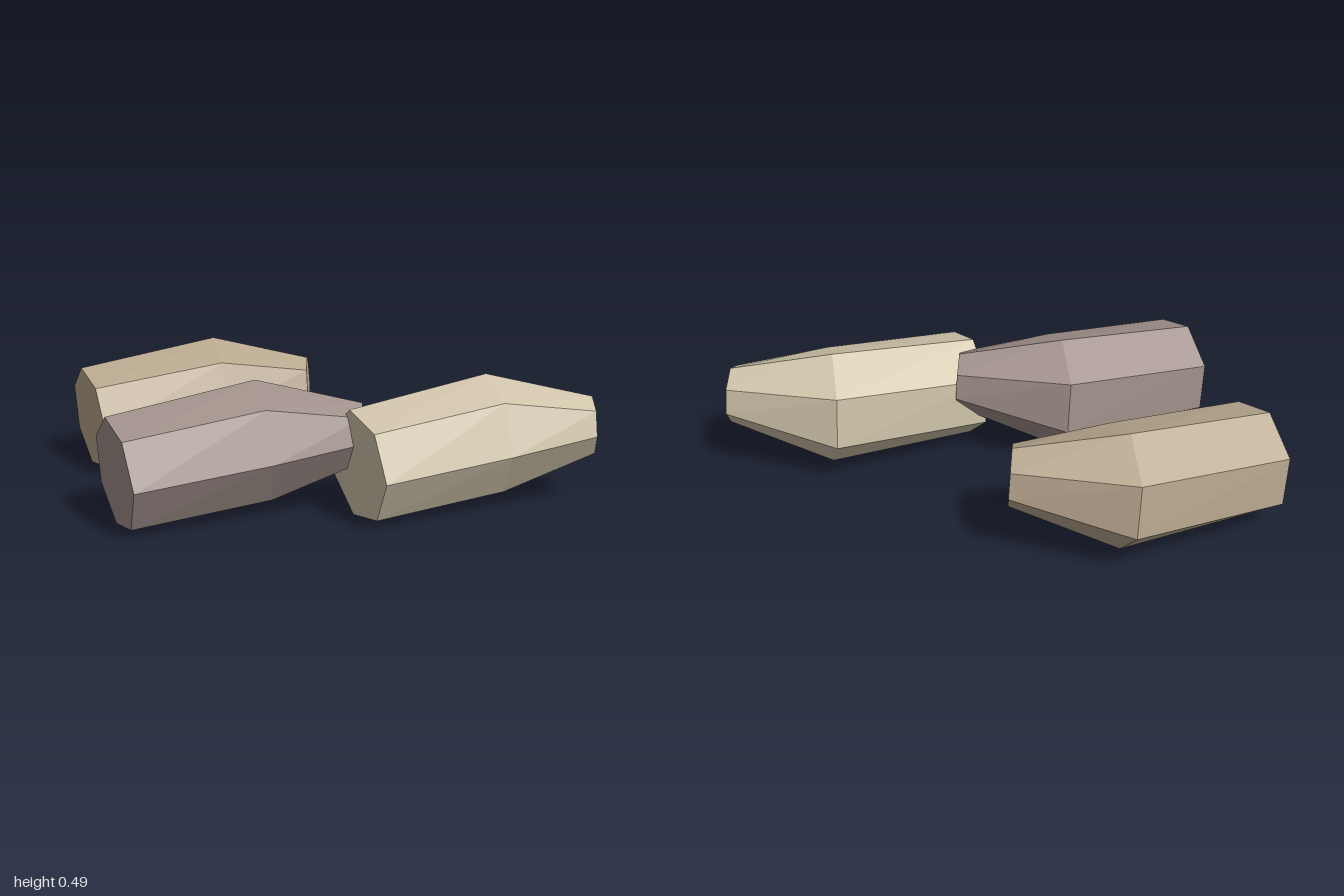
import * as THREE from 'three';

const SIDES = 7;

// Each ring: centre, sideways axis, upward axis (front base, knuckle, tip)
const RINGS = [
  { c: [-0.211, 0.209, 0.705], u: [0.196, -0.004, 0.085], v: [0, 0.214, 0.017] },
  { c: [0.019, 0.26, 0.172], u: [0.186, -0.025, 0.138], v: [0.006, 0.23, 0.026] },
  { c: [0.325, 0.30, -0.064], u: [0.066, -0.015, 0.084], v: [0.005, 0.112, 0.019] },
];

function ringPoint(ring, k) {
  const a = (k / SIDES) * Math.PI * 2;
  return ring.c.map((c, i) => c + ring.u[i] * Math.cos(a) + ring.v[i] * Math.sin(a));
}

// Seven-sided bent prism: walls between rings plus a cap at each end
function segmentGeometry() {
  const pos = [];
  const tri = (...pts) => pts.forEach((p) => pos.push(...p));
  const last = RINGS.length - 1;
  for (let k = 0; k < SIDES; k++) {
    for (let i = 0; i < last; i++) {
      const a = ringPoint(RINGS[i], k);
      const b = ringPoint(RINGS[i], k + 1);
      const c = ringPoint(RINGS[i + 1], k);
      const d = ringPoint(RINGS[i + 1], k + 1);
      tri(a, c, d);
      tri(a, d, b);
    }
    tri(RINGS[0].c, ringPoint(RINGS[0], k), ringPoint(RINGS[0], k + 1));
    tri(RINGS[last].c, ringPoint(RINGS[last], k + 1), ringPoint(RINGS[last], k));
  }
  const geo = new THREE.BufferGeometry();
  geo.setAttribute('position', new THREE.Float32BufferAttribute(pos, 3));
  geo.computeVertexNormals();
  return geo;
}

export function createModel() {
  const group = new THREE.Group();
  group.name = 'bentPrisms';
  const geo = segmentGeometry();
  // Three identical pieces, shifted and tinted
  const pieces = [
    { name: 'rightPrism', x: -0.61, z: -0.404, color: 0xb9a88f },
    { name: 'middlePrism', x: 0, z: 0, color: 0xa0908a },
    { name: 'leftPrism', x: 0.605, z: -0.645, color: 0xcfc4aa },
  ];
  for (const { name, x, z, color } of pieces) {
    const mesh = new THREE.Mesh(geo, new THREE.MeshStandardMaterial({ color, flatShading: true }));
    mesh.name = name;
    mesh.position.set(x, 0, z);
    group.add(mesh);
  }
  return group;
}
